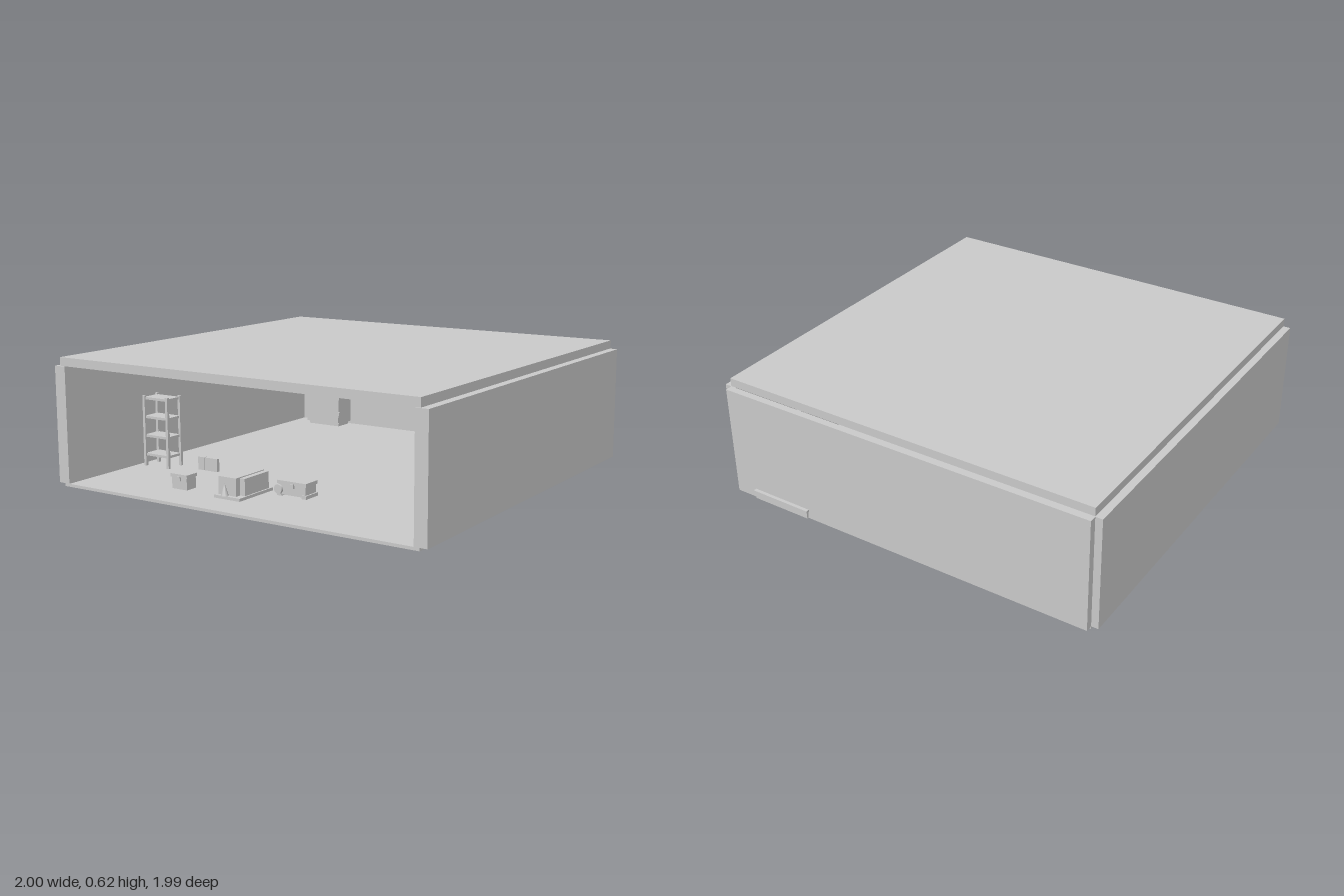
import * as THREE from 'three';

export function createModel() {
  const room = new THREE.Group();
  room.name = 'room';
  const grey = new THREE.MeshStandardMaterial({ color: 0xcccccc });
  grey.name = 'plain grey';

  const add = (parent, name, geometry) => {
    const mesh = new THREE.Mesh(geometry, grey);
    mesh.name = name;
    parent.add(mesh);
    return mesh;
  };
  // Box given by its lower and upper limits on each axis
  const box = (parent, name, x0, x1, y0, y1, z0, z1) => {
    const mesh = add(parent, name, new THREE.BoxGeometry(x1 - x0, y1 - y0, z1 - z0));
    mesh.position.set((x0 + x1) / 2, (y0 + y1) / 2, (z0 + z1) / 2);
    return mesh;
  };
  const group = (name) => {
    const g = new THREE.Group();
    g.name = name;
    room.add(g);
    return g;
  };
  // Square bar between two points
  const bar = (parent, name, a, b, t) => {
    const p = new THREE.Vector3(...a), q = new THREE.Vector3(...b);
    const mesh = add(parent, name, new THREE.BoxGeometry(t, t, p.distanceTo(q)));
    mesh.position.copy(p).add(q).multiplyScalar(0.5);
    mesh.lookAt(q);
    return mesh;
  };

  // Shell, open at the front
  box(room, 'floor', -0.965, 0.965, 0, 0.014, -0.945, 0.993);
  box(room, 'roof', -0.965, 0.965, 0.575, 0.616, -0.945, 0.993);
  box(room, 'backWall', -0.965, 0.965, 0.014, 0.573, -0.98, -0.945);
  for (const [name, s] of [['leftWall', 1], ['rightWall', -1]]) {
    const x = [s * 0.938, s].sort((a, b) => a - b);
    box(room, name, x[0], x[1], 0.014, 0.573, -0.945, 0.993);
  }

  // Door on the back wall with hinge knuckles and an outside sill
  const door = group('backDoor');
  box(door, 'doorPanel', 0.535, 0.842, 0.016, 0.556, -0.945, -0.925);
  for (let i = 0; i < 10; i++) {
    const y = 0.11 + i * 0.047;
    for (const x of [0.53, 0.841]) box(door, 'hinge', x - 0.006, x + 0.006, y, y + 0.014, -0.93, -0.915);
  }
  box(door, 'outsideSill', 0.53, 0.845, 0.016, 0.05, -0.99, -0.98);
  box(door, 'sillLip', 0.525, 0.85, 0.05, 0.062, -0.997, -0.98);

  // Open shelf rack
  const rack = group('shelfRack');
  for (const x of [-0.893, -0.747])
    for (const z of [0.41, 0.505]) box(rack, 'rackPost', x - 0.007, x + 0.007, 0.014, 0.37, z - 0.007, z + 0.007);
  for (const y of [0.065, 0.16, 0.255, 0.35]) box(rack, 'rackShelf', -0.893, -0.747, y, y + 0.012, 0.41, 0.505);

  // Tall cabinet
  const cabinet = group('cabinet');
  box(cabinet, 'cabinetBody', -0.83, -0.61, 0.03, 0.335, -0.94, -0.82);
  box(cabinet, 'cabinetDoor', -0.725, -0.612, 0.036, 0.33, -0.82, -0.812);
  box(cabinet, 'cabinetHandle', -0.725, -0.712, 0.205, 0.225, -0.812, -0.8);
  box(cabinet, 'cabinetPlinth', -0.82, -0.62, 0.014, 0.03, -0.93, -0.83);
  for (const y of [0.08, 0.17, 0.27]) box(cabinet, 'cabinetHinge', -0.613, -0.604, y, y + 0.02, -0.83, -0.81);

  // Small cube crate
  const crate = group('smallCrate');
  box(crate, 'crateBody', -0.478, -0.39, 0.014, 0.078, 0.725, 0.79);
  box(crate, 'crateLid', -0.483, -0.385, 0.07, 0.086, 0.72, 0.795);
  box(crate, 'crateClasp', -0.445, -0.423, 0.055, 0.075, 0.79, 0.8);

  // Thin hanging board in two panels
  const board = group('hangingBoard');
  box(board, 'narrowPanel', -0.317, -0.28, 0.125, 0.185, 0.775, 0.792);
  box(board, 'widePanel', -0.278, -0.208, 0.125, 0.185, 0.775, 0.792);

  // Long machine on a base plate
  const machine = group('longMachine');
  box(machine, 'machineBase', -0.205, -0.06, 0.014, 0.028, 0.57, 0.82);
  box(machine, 'machineBody', -0.195, -0.095, 0.028, 0.112, 0.59, 0.8);
  box(machine, 'machineSide', -0.1, -0.068, 0.028, 0.108, 0.59, 0.77);
  const nozzle = add(machine, 'machineNozzle', new THREE.ConeGeometry(0.018, 0.06, 8));
  nozzle.position.set(-0.15, 0.058, 0.812);

  // Chest with lid, latch and rounded end
  const chest = group('chest');
  box(chest, 'chestBody', 0.015, 0.162, 0.02, 0.072, 0.54, 0.625);
  box(chest, 'chestLid', 0.008, 0.168, 0.07, 0.086, 0.535, 0.63);
  box(chest, 'chestLatch', 0.085, 0.102, 0.055, 0.076, 0.625, 0.636);
  for (const x of [0.02, 0.157]) box(chest, 'chestCorner', x - 0.013, x + 0.013, 0.014, 0.03, 0.535, 0.63);
  const roll = add(chest, 'chestEndKnob', new THREE.CylinderGeometry(0.022, 0.022, 0.012, 12));
  roll.rotation.x = Math.PI / 2;
  roll.position.set(0.018, 0.045, 0.632);

  // Workbench with a solid body on short legs
  const bench = group('workbench');
  box(bench, 'benchBody', 0.225, 0.408, 0.052, 0.178, -0.82, -0.68);
  box(bench, 'benchTop', 0.217, 0.414, 0.176, 0.186, -0.83, -0.67);
  for (const x of [0.244, 0.391])
    for (const z of [-0.81, -0.69]) box(bench, 'benchLeg', x - 0.006, x + 0.006, 0.014, 0.054, z - 0.006, z + 0.006);
  for (const y of [0.07, 0.108, 0.145]) box(bench, 'benchKnob', 0.408, 0.424, y, y + 0.007, -0.76, -0.74);

  // Folding ladder beside the left wall
  const ladder = group('foldingLadder');
  for (const z of [-0.7, -0.58]) {
    bar(ladder, 'frontRail', [0.785, 0.018, z], [0.878, 0.295, z], 0.013);
    bar(ladder, 'rearRail', [0.872, 0.295, z], [0.945, 0.1, z], 0.013);
  }
  for (const t of [0.2, 0.4, 0.6, 0.8]) {
    const x = 0.785 + 0.093 * t, y = 0.018 + 0.277 * t;
    bar(ladder, 'rung', [x, y, -0.7], [x, y, -0.58], 0.01);
  }
  box(ladder, 'ladderTop', 0.862, 0.89, 0.285, 0.302, -0.71, -0.57);

  // Bare bulb on a cord
  const lamp = group('hangingLamp');
  const cord = add(lamp, 'cord', new THREE.CylinderGeometry(0.0015, 0.0015, 0.115, 6));
  cord.position.set(-0.328, 0.518, 0);
  const bulb = add(lamp, 'bulb', new THREE.SphereGeometry(0.008, 12, 8));
  bulb.position.set(-0.328, 0.455, 0);

  return room;
}
